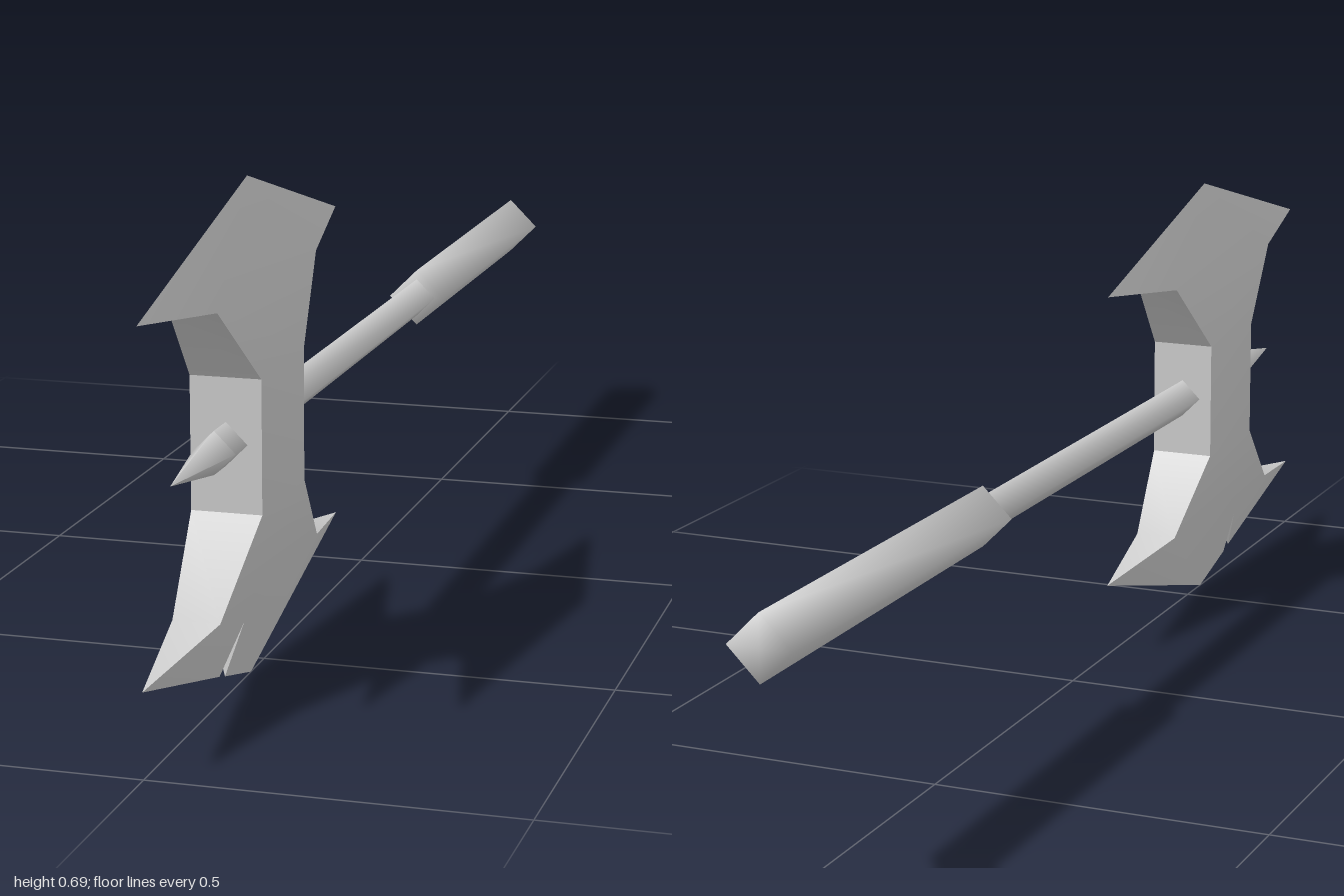
import * as THREE from 'three';
import { toCreasedNormals } from 'three/addons/utils/BufferGeometryUtils.js';

const AXIS_Y = 0.35;

// Blade outline, counter-clockwise seen from +x: [z, y, half thickness]
const OUTLINE = [
  [0.56, 0, 0],                                                 // 0 bottom point
  [0.14, 0.115, 0], [0.35, 0.142, 0.033], [0.467, 0.255, 0.05], // 1-3 lower back
  [0.467, 0.441, 0.05], [0.35, 0.556, 0.033], [0.14, 0.581, 0], // 4-6 upper back
  [0.56, 0.695, 0],                                             // 7 top point
  [1, 0.581, 0], [0.79, 0.556, 0.033], [0.66, 0.441, 0.05],     // 8-10 upper front
  [0.66, 0.255, 0.05], [0.79, 0.142, 0.033], [1, 0.115, 0],     // 11-13 lower front
  [0.697, 0.037, 0], [0.66, 0.106, 0.024], [0.674, 0.03, 0],    // 14-16 chipped notch
];

// Panels of one cheek, as outline indices
const CHEEK = [
  [0, 1, 2], [0, 2, 15], [0, 15, 16], [2, 12, 15], [12, 13, 14], [12, 14, 15],
  [2, 3, 11], [2, 11, 12], [3, 4, 10], [3, 10, 11], [4, 5, 9], [4, 9, 10],
  [5, 6, 7], [5, 7, 9], [7, 8, 9],
];

function bladeGeometry() {
  const positions = [];
  const corner = (i, side) => {
    const [z, y, half] = OUTLINE[i];
    positions.push(side * half, y, z);
  };
  // Both cheeks, mirrored across x
  for (const [a, b, c] of CHEEK) {
    [a, b, c].forEach((i) => corner(i, 1));
    [c, b, a].forEach((i) => corner(i, -1));
  }
  // Rim walls; they vanish where the blade tapers to an edge
  for (let a = 0; a < OUTLINE.length; a++) {
    const b = (a + 1) % OUTLINE.length;
    if (OUTLINE[b][2] > 0) { corner(a, -1); corner(b, -1); corner(b, 1); }
    if (OUTLINE[a][2] > 0) { corner(a, -1); corner(b, 1); corner(a, 1); }
  }
  const geometry = new THREE.BufferGeometry();
  geometry.setAttribute('position', new THREE.Float32BufferAttribute(positions, 3));
  return toCreasedNormals(geometry, 0.7);
}

// Smooth four-sided bar along z with its corners up, down, left and right
function bar(z0, z1, r0, r1, open) {
  const geometry = new THREE.CylinderGeometry(r1, r0, z1 - z0, 4, 1, open);
  geometry.rotateX(Math.PI / 2).translate(0, AXIS_Y, (z0 + z1) / 2);
  return toCreasedNormals(geometry, 2);
}

export function createModel() {
  const group = new THREE.Group();
  group.name = 'battleAxe';
  const steel = new THREE.MeshStandardMaterial({ color: 0xcccccc });
  steel.name = 'grey steel';

  const add = (name, geometry) => {
    const mesh = new THREE.Mesh(geometry, steel);
    mesh.name = name;
    group.add(mesh);
  };

  add('doubleBlade', bladeGeometry());
  add('shaft', bar(-0.34, 0.71, 0.03, 0.03, true));
  add('frontSpike', bar(0.71, 0.885, 0.03, 0, true));
  add('grip', bar(-1, -0.33, 0.047, 0.045, false));
  return group;
}
